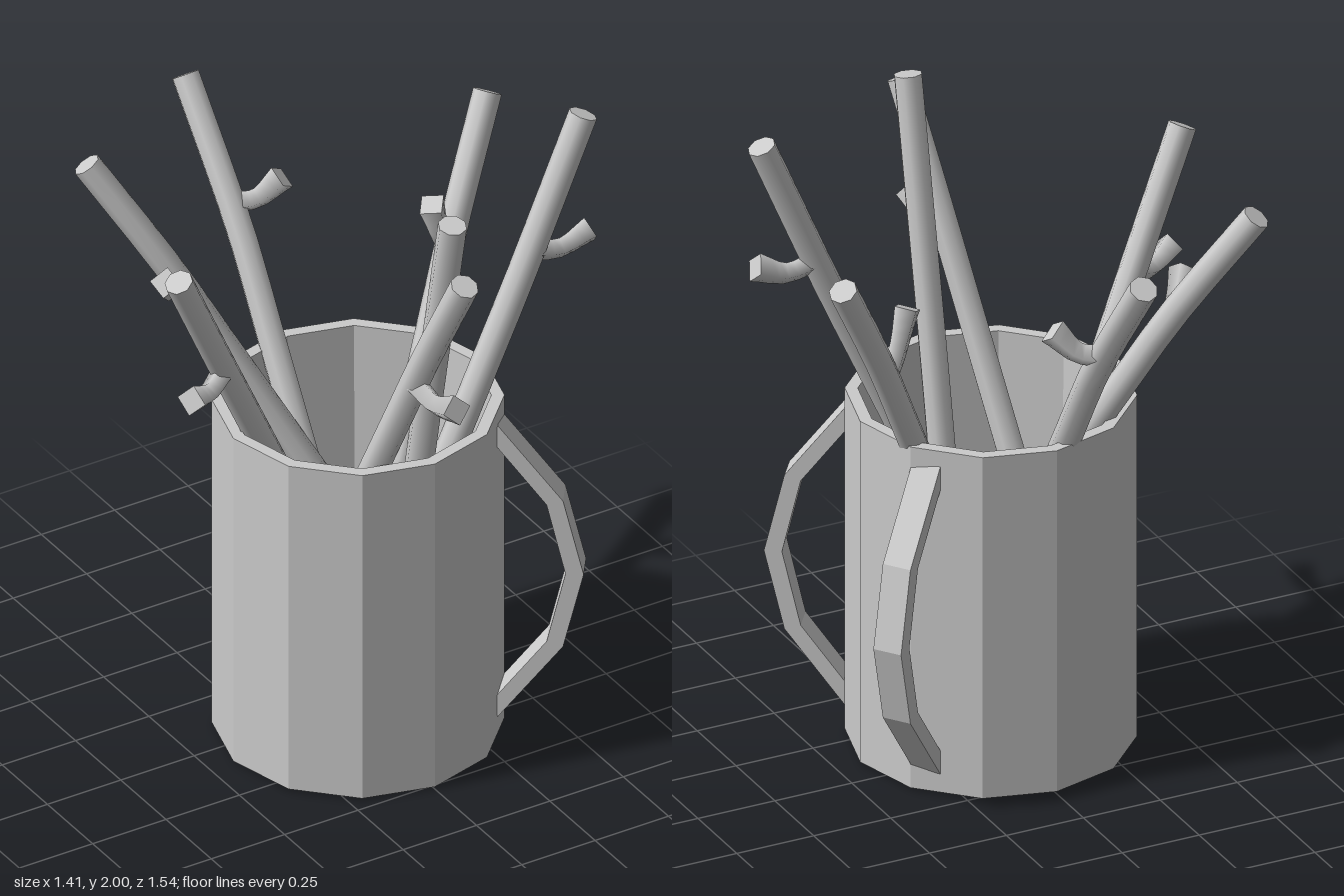
import * as THREE from 'three';

const smooth = new THREE.MeshStandardMaterial({ color: 0xcccccc });
const faceted = new THREE.MeshStandardMaterial({ color: 0xcccccc, flatShading: true });
const capMaterial = new THREE.MeshStandardMaterial({ color: 0xcccccc, flatShading: true, side: THREE.DoubleSide });
const CUP_Z = 0.095;
const vec = p => new THREE.Vector3(...p);

// Capped tube along points; radiusAt(t) sets the thickness along its length
function branch(name, points, segments, sides, radiusAt) {
  const group = new THREE.Group();
  group.name = name;
  const curve = new THREE.CatmullRomCurve3(points);
  const geo = new THREE.TubeGeometry(curve, segments, 1, sides, false);
  const pos = geo.attributes.position;
  const v = new THREE.Vector3();
  for (let i = 0; i <= segments; i++) {
    const c = curve.getPointAt(i / segments);
    for (let j = 0; j <= sides; j++) {
      const k = i * (sides + 1) + j;
      v.fromBufferAttribute(pos, k).sub(c).multiplyScalar(radiusAt(i / segments)).add(c);
      pos.setXYZ(k, v.x, v.y, v.z);
    }
  }
  group.add(new THREE.Mesh(geo, smooth));
  // End caps fan out from the centre of each end ring
  for (const end of [0, 1]) {
    const corner = j => new THREE.Vector3().fromBufferAttribute(pos, end * segments * (sides + 1) + j);
    const tris = [];
    for (let j = 0; j < sides; j++) tris.push(curve.getPointAt(end), corner(j + 1 - end), corner(j + end));
    const cap = new THREE.BufferGeometry().setFromPoints(tris);
    cap.computeVertexNormals();
    group.add(new THREE.Mesh(cap, capMaterial));
  }
  group.children.forEach((m, i) => { m.name = name + (i ? 'End' : 'Body'); });
  return group;
}

// Twelve-sided hollow cup
function makeCup() {
  const profile = [[0, 0.01], [0.425, 0.01], [0.425, 1.12], [0.387, 1.12], [0.36, 0.05], [0, 0.05]];
  const cup = new THREE.Mesh(
    new THREE.LatheGeometry(profile.map(p => new THREE.Vector2(...p)), 12), faceted);
  cup.name = 'cup';
  cup.position.z = CUP_Z;
  return cup;
}

// Angular strap handle, extruded across its width
function makeHandle(angle) {
  const outer = [[0.41, 1.07], [0.60, 0.82], [0.66, 0.57], [0.60, 0.32], [0.41, 0.07]];
  const inner = [[0.39, 0.12], [0.552, 0.335], [0.607, 0.57], [0.552, 0.805], [0.39, 1.02]];
  const shape = new THREE.Shape([...outer, ...inner].map(p => new THREE.Vector2(...p)));
  const geo = new THREE.ExtrudeGeometry(shape, { depth: 0.09, bevelEnabled: false });
  geo.translate(0, 0, -0.045);
  const handle = new THREE.Mesh(geo, faceted);
  handle.name = 'handle';
  handle.position.z = CUP_Z;
  handle.rotation.y = angle;
  return handle;
}

// Stick: straight from the cup floor to a bend, then on to its tip.
// A twig may leave it at a given height and sag on the way to its own tip.
function makeStick(base, bend, tip, twigHeight, twigTip) {
  const [a, b, c] = [base, bend, tip].map(vec);
  const group = new THREE.Group();
  group.name = 'stickWithTwig';
  const path = [a, a.clone().lerp(b, 0.4), a.clone().lerp(b, 0.8), b, c];
  group.add(branch('stick', path, 16, 8, () => 0.043));
  if (twigTip) {
    const next = twigHeight > b.y ? c : a;
    const start = b.clone().lerp(next, (twigHeight - b.y) / (next.y - b.y));
    const end = vec(twigTip);
    const middle = start.clone().lerp(end, 0.5);
    middle.y -= 0.03;
    // Four-sided, narrow in the middle and flared at the cut end
    const radius = t => 0.038 - 0.008 * Math.sin(Math.PI * t) + 0.008 * t;
    group.add(branch('twig', [start, middle, end], 6, 4, radius));
  }
  return group;
}

export function createModel() {
  const model = new THREE.Group();
  model.name = 'cupOfSticks';
  model.add(makeCup());
  for (const side of [1, -1]) model.add(makeHandle(side * 0.63));
  model.add(
    makeStick([-0.06, 0.05, 0.38], [-0.065, 1.42, -0.45], [-0.08, 1.81, -0.73], 1.49, [0.065, 1.57, -0.43]),
    makeStick([0.32, 0.05, 0.22], [-0.39, 1.47, -0.31], [-0.58, 1.81, -0.465], 1.44, [-0.49, 1.53, -0.175]),
    makeStick([-0.15, 0.05, 0.22], [0.49, 1.44, -0.16], [0.66, 1.76, -0.26], 1.37, [0.365, 1.56, -0.09]),
    makeStick([0.2, 0.05, -0.14], [-0.49, 1.42, 0.13], [-0.67, 1.79, 0.19], 1.39, [-0.645, 1.39, 0.22]),
    makeStick([-0.22, 0.05, 0.265], [0.43, 1.47, 0.28], [0.65, 1.98, 0.285], 1.57, [0.665, 1.585, 0.295]),
    makeStick([0.04, 0.01, 0.18], [0.038, 1.12, 0.39], [0.035, 1.95, 0.56]),
    makeStick([-0.25, 0.05, -0.05], [-0.06, 1.54, 0.575], [-0.025, 1.85, 0.725], 1.43, [-0.07, 1.455, 0.755]),
  );
  return model;
}
